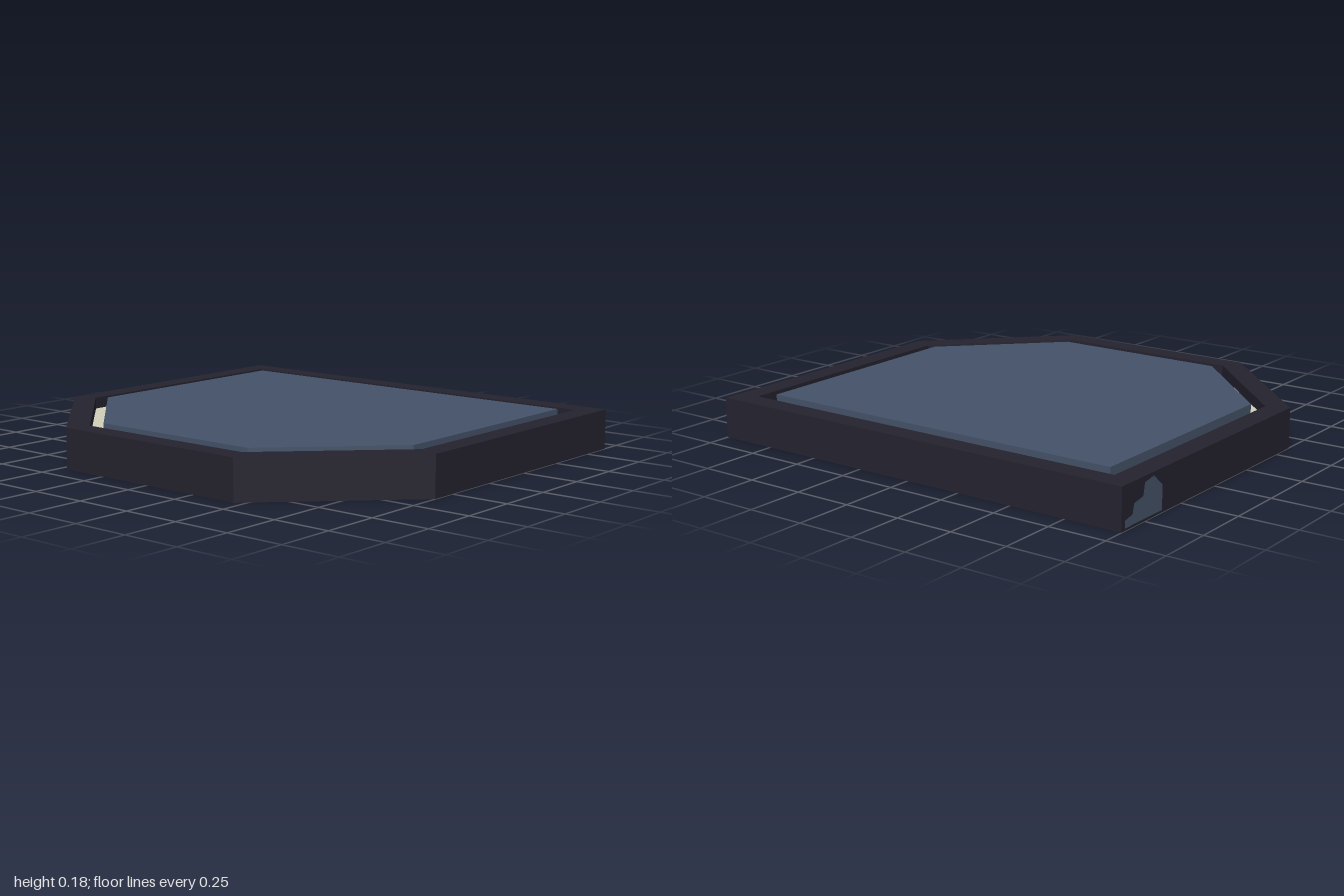
import * as THREE from 'three';

const mat = (name, color) => {
  const m = new THREE.MeshStandardMaterial({ color, side: THREE.DoubleSide });
  m.name = name;
  return m;
};

// six-sided outline, inset evenly by d
function outline(d) {
  const k = Math.tan(Math.PI / 8) * d;
  return [
    [-1 + d, -0.9 + d], [1 - d, -0.9 + d], [1 - d, 0.36 - k],
    [0.46 - k, 0.9 - d], [-0.46 + k, 0.9 - d], [-1 + d, 0.36 - k],
  ];
}

// flat-sided skin through a list of [inset, height] steps
function skin(steps) {
  const pos = [];
  for (let s = 0; s < steps.length - 1; s++) {
    const [d0, y0] = steps[s], [d1, y1] = steps[s + 1];
    const lo = outline(d0), hi = outline(d1);
    for (let i = 0; i < 6; i++) {
      const j = (i + 1) % 6;
      const a0 = [lo[i][0], y0, lo[i][1]], b0 = [lo[j][0], y0, lo[j][1]];
      const a1 = [hi[i][0], y1, hi[i][1]], b1 = [hi[j][0], y1, hi[j][1]];
      pos.push(...b0, ...a0, ...a1, ...b0, ...a1, ...b1);
    }
  }
  const g = new THREE.BufferGeometry();
  g.setAttribute('position', new THREE.Float32BufferAttribute(pos, 3));
  g.computeVertexNormals();
  return g;
}

const shapeOf = (pts) => new THREE.Shape(pts.map(([x, y]) => new THREE.Vector2(x, y)));

export function createModel() {
  const group = new THREE.Group();
  const frameMat = mat('dark frame', 0x24222e);
  const creamMat = mat('cream trim', 0xd2cfb8);
  const blueMat = mat('slate blue', 0x445268);

  const add = (name, geometry, material) => {
    const mesh = new THREE.Mesh(geometry, material);
    mesh.name = name;
    group.add(mesh);
    return mesh;
  };

  const top = 0.174, floor = 0.125, panelTop = 0.179;
  const rim = 0.095, edge = 0.15;

  // hollow frame: outer wall, top rim and wall of the recess
  add('frame', skin([[0, 0], [0, top], [rim, top], [rim, floor]]), frameMat);

  // trim on the recess floor
  add('trim', skin([[rim, floor], [edge, floor]]), creamMat);

  // raised panel, open underneath
  add('panelSides', skin([[edge, floor], [edge, panelTop]]), blueMat);
  const cap = new THREE.ShapeGeometry(shapeOf(outline(edge).map(([x, z]) => [x, -z])));
  cap.rotateX(-Math.PI / 2);
  cap.translate(0, panelTop, 0);
  add('panelTop', cap, blueMat);

  // small worn patch on the side wall by the back corner, seen inside and out
  const patch = new THREE.ShapeGeometry(shapeOf([
    [-0.88, 0.01], [-0.63, 0.01], [-0.63, 0.11], [-0.69, 0.16], [-0.75, 0.15],
    [-0.76, 0.1], [-0.82, 0.09], [-0.83, 0.05], [-0.88, 0.04],
  ]));
  patch.rotateY(-Math.PI / 2);
  for (const [name, x] of [['outerPatch', -1.001], ['innerPatch', -0.998]]) {
    add(name, patch, blueMat).position.x = x;
  }

  return group;
}
